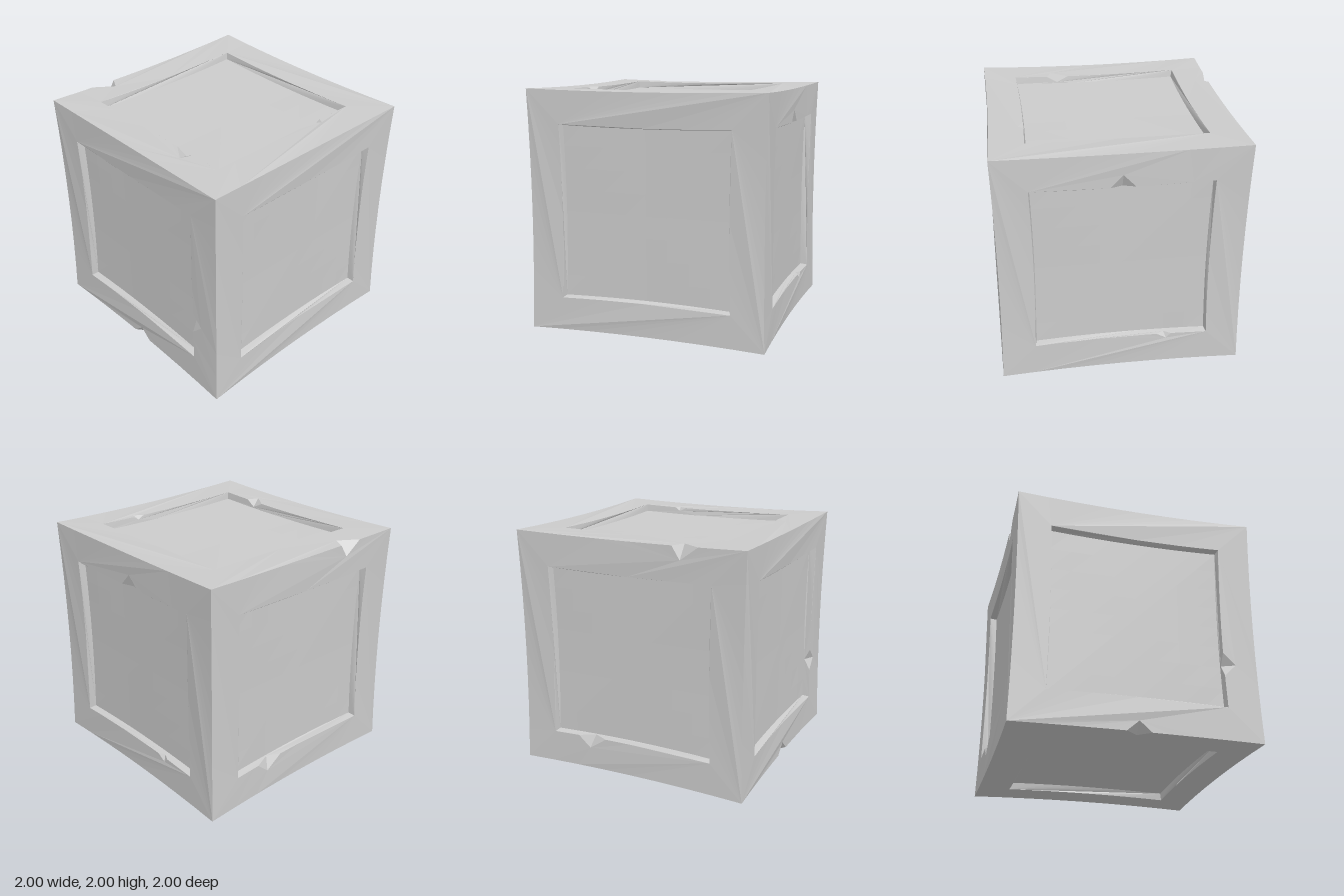
import * as THREE from 'three';
import { mergeGeometries } from 'three/addons/utils/BufferGeometryUtils.js';

const OPEN = 0.725;   // half width of the recessed opening
const DEPTH = 0.06;   // depth of the recess
const TAPER = 0.01;   // how far the recess walls lean inward
const BOW = 0.016;    // inward sag of the cube between its corners

const material = new THREE.MeshStandardMaterial({ color: 0xcccccc, flatShading: true });
const V = (x, y, z) => new THREE.Vector3(x, y, z);

// Faces: u (right), v (up), w (outward), and their chips.
// side: 0 top, 1 left, 2 bottom, 3 right; a..b span along the side,
// m tip, dm deepest point, reach across the frame, depth into the block.
const FACES = [
  { name: 'front', u: V(1, 0, 0), v: V(0, 1, 0), w: V(0, 0, 1), chips: [] },
  { name: 'right', u: V(0, 0, -1), v: V(0, 1, 0), w: V(1, 0, 0), chips: [
    { side: 0, a: -0.1, b: 0.1, m: 0, dm: 0, reach: 0.105, depth: 0.05 },
    { side: 2, a: -0.42, b: -0.3, m: -0.38, dm: -0.36, reach: 0.045, depth: 0.03 },
  ] },
  { name: 'back', u: V(-1, 0, 0), v: V(0, 1, 0), w: V(0, 0, -1), chips: [
    { outer: true, side: 0, a: 0.39, b: 0.61, m: 0.46, reach: 0.11 },
    { side: 2, a: 0.23, b: 0.49, m: 0.38, dm: 0.35, reach: 0.1, depth: 0.05 },
  ] },
  { name: 'left', u: V(0, 0, 1), v: V(0, 1, 0), w: V(-1, 0, 0), chips: [
    { side: 3, a: 0.25, b: 0.45, m: 0.35, dm: 0.35, reach: 0.1, depth: 0.05 },
    { outer: true, side: 2, a: -0.1, b: 0.1, m: 0, reach: 0.09 },
  ] },
  { name: 'top', u: V(1, 0, 0), v: V(0, 0, -1), w: V(0, 1, 0), chips: [
    { outer: true, side: 0, a: -0.61, b: -0.39, m: -0.45, dm: -0.46, reach: 0.11, depth: 0.11 },
    { side: 1, a: -0.44, b: -0.25, m: -0.4, dm: -0.35, reach: 0.1, depth: 0.05 },
    { side: 2, a: -0.41, b: -0.3, m: -0.38, dm: -0.36, reach: 0.045, depth: 0.03 },
  ] },
  { name: 'bottom', u: V(1, 0, 0), v: V(0, 0, 1), w: V(0, -1, 0), chips: [
    { outer: true, side: 1, a: -0.1, b: 0.1, m: 0, dm: 0, reach: 0.08, depth: 0.09 },
  ] },
];

// Sag every point inward, more toward the middle of the edges
function sag(p) {
  const [x, y, z] = [p.x * p.x, p.y * p.y, p.z * p.z];
  const f = (a, b) => 1 - BOW * Math.max(0, 1 - Math.min(a, b));
  return V(p.x * f(y, z), p.y * f(x, z), p.z * f(x, y));
}

// Radius of the opening's edge, slightly bowed inward
const openRadius = t => OPEN - 0.008 * (1 - (t / OPEN) ** 2);

// Points [t, r] along one side, from +half to -half, with chips cut in
function edgePoints(half, radius, chips, sign) {
  const pts = [];
  for (let i = 0; i <= 8; i++) {
    const t = half * (1 - i / 4);
    if (!chips.some(c => t >= c.a - 0.01 && t <= c.b + 0.01)) pts.push([t, radius(t)]);
  }
  for (const c of chips) {
    pts.push([c.a, radius(c.a)], [c.m, radius(c.m) + sign * c.reach], [c.b, radius(c.b)]);
  }
  return pts.sort((p, q) => q[0] - p[0]);
}

// Move each vertex of a geometry through a function
function mapVertices(geometry, fn) {
  const pos = geometry.attributes.position;
  for (let i = 0; i < pos.count; i++) {
    const p = fn(pos.getX(i), pos.getY(i), pos.getZ(i));
    pos.setXYZ(i, p.x, p.y, p.z);
  }
  const flat = geometry.index ? geometry.toNonIndexed() : geometry;
  flat.deleteAttribute('uv');
  flat.computeVertexNormals();
  return flat;
}

const polygon = pts =>
  new THREE.ShapeGeometry(new THREE.Shape(pts.map(([x, y]) => new THREE.Vector2(x, y))));

function buildFace({ name, u, v, w, chips }) {
  const group = new THREE.Group();
  group.name = name + 'Face';
  const place = (a, b, c) => sag(V(0, 0, 0)
    .addScaledVector(u, a).addScaledVector(v, b).addScaledVector(w, c));
  const frames = [], walls = [], cuts = [];

  for (let s = 0; s < 4; s++) {
    const cos = [1, 0, -1, 0][s], sin = [0, 1, 0, -1][s];
    const at = (t, r, c) => place(t * cos - r * sin, t * sin + r * cos, c);
    const mine = chips.filter(c => c.side === s);
    const inner = mine.filter(c => !c.outer);
    const outer = mine.filter(c => c.outer);

    // Mitred frame bar
    const rim = edgePoints(1, () => 1, outer, -1);
    const lip = edgePoints(OPEN, openRadius, inner, 1);
    frames.push(mapVertices(polygon([...rim, ...lip.reverse()]), (t, r) => at(t, r, 1)));

    // Recess wall, notched where the chips bite into it
    const top = edgePoints(OPEN, () => 0, inner.map(c => ({ ...c, m: c.dm, reach: c.depth })), -1);
    const foot = edgePoints(OPEN - TAPER, () => -DEPTH, [], 0);
    walls.push(mapVertices(polygon([...top, ...foot.reverse()]),
      (t, d) => at(t, openRadius(t) + TAPER * d / DEPTH, 1 + d)));

    // Two broken facets inside each chip
    for (const c of mine.filter(k => k.depth)) {
      const radius = c.outer ? () => 1 : openRadius;
      const L = at(c.a, radius(c.a), 1), R = at(c.b, radius(c.b), 1);
      const A = at(c.m, radius(c.m) + (c.outer ? -c.reach : c.reach), 1);
      const lean = c.outer ? 0 : TAPER * c.depth / DEPTH;
      const D = at(c.dm, radius(c.dm) - lean, 1 - c.depth);
      const tris = c.outer ? [L, A, D, R, D, A] : [L, D, A, R, A, D];
      const g = new THREE.BufferGeometry().setFromPoints(tris);
      g.computeVertexNormals();
      cuts.push(g);
    }
  }

  const add = (part, geometry) => {
    const mesh = new THREE.Mesh(geometry, material);
    mesh.name = name + part;
    group.add(mesh);
  };
  add('Frame', mergeGeometries(frames));
  add('RecessWalls', mergeGeometries(walls));
  if (cuts.length) add('Chips', mergeGeometries(cuts));

  // Sunken panel
  add('Panel', mapVertices(new THREE.PlaneGeometry(2 * OPEN, 2 * OPEN, 8, 8),
    (a, b) => place(a, b, 1 - DEPTH)));
  return group;
}

export function createModel() {
  const model = new THREE.Group();
  model.name = 'chippedBlock';
  for (const face of FACES) model.add(buildFace(face));
  model.position.y = 1;
  const root = new THREE.Group();
  root.name = 'block';
  root.add(model);
  return root;
}
